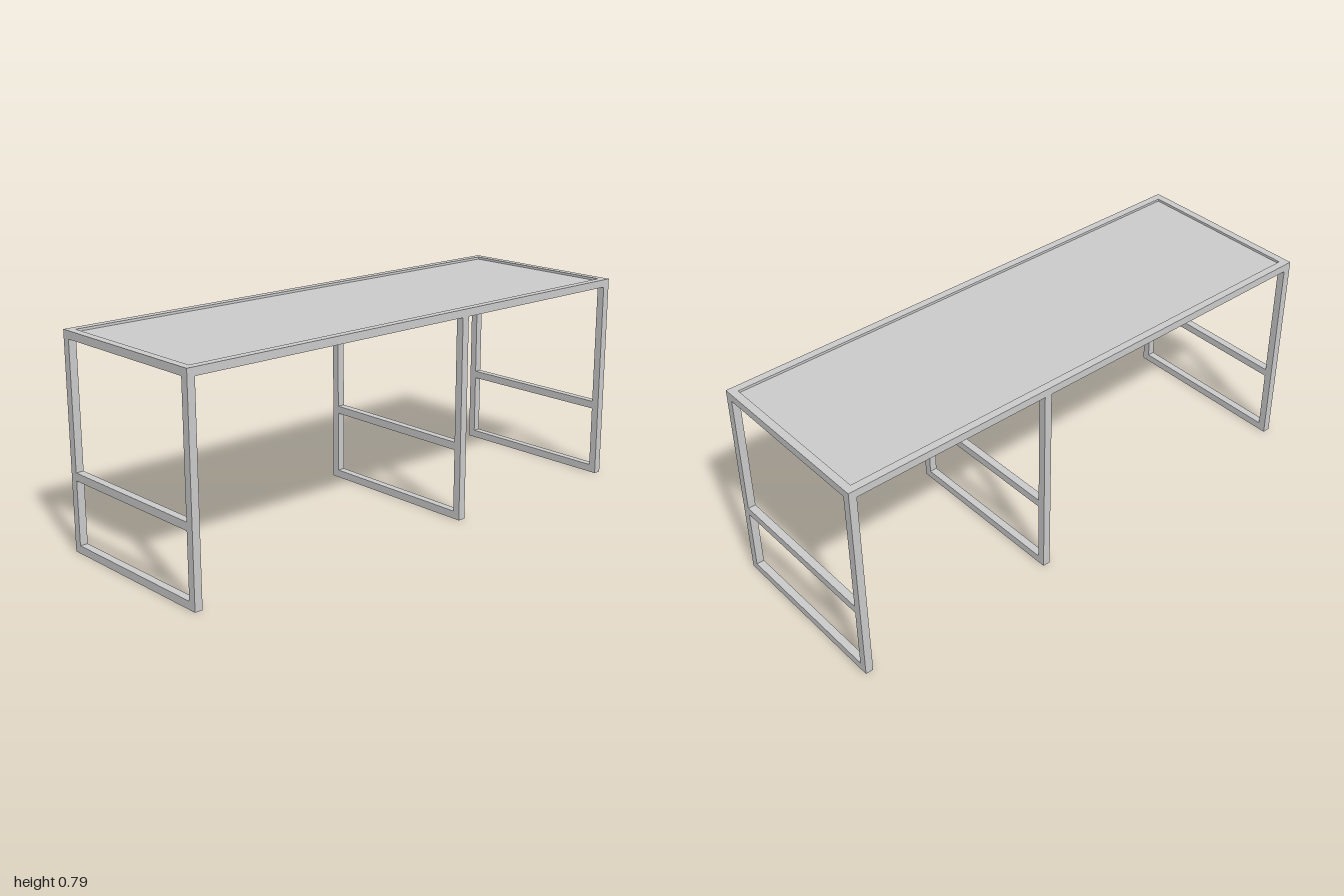
import * as THREE from 'three';

const W = 2, H = 0.785, D = 0.686, T = 0.029; // overall size and tube thickness

export function createModel() {
  const model = new THREE.Group();
  model.name = 'table';
  const material = new THREE.MeshStandardMaterial({ color: 0xcccccc });

  const bar = (parent, name, size, pos) => {
    const mesh = new THREE.Mesh(new THREE.BoxGeometry(...size), material);
    mesh.name = name;
    mesh.position.set(...pos);
    parent.add(mesh);
  };

  const zLeg = (D - T) / 2, xEnd = (W - T) / 2;
  const yTop = H - T / 2, innerDepth = D - 2 * T;

  // Three leg frames: two posts joined by a foot rail and a middle rail
  const frames = [['rightLegFrame', -xEnd], ['middleLegFrame', 0.2], ['leftLegFrame', xEnd]];
  for (const [name, x] of frames) {
    const frame = new THREE.Group();
    frame.name = name;
    frame.position.x = x;
    const postHeight = H - T;
    bar(frame, 'frontPost', [T, postHeight, T], [0, postHeight / 2, zLeg]);
    bar(frame, 'backPost', [T, postHeight, T], [0, postHeight / 2, -zLeg]);
    bar(frame, 'footRail', [T, T, innerDepth], [0, T / 2, 0]);
    bar(frame, 'middleRail', [T, T, innerDepth], [0, 0.278, 0]);
    model.add(frame);
  }

  // Rectangular top frame
  const topFrame = new THREE.Group();
  topFrame.name = 'topFrame';
  for (const s of [-1, 1]) {
    bar(topFrame, s > 0 ? 'frontRail' : 'backRail', [W, T, T], [0, yTop, s * zLeg]);
    bar(topFrame, s > 0 ? 'leftRail' : 'rightRail', [T, T, innerDepth], [s * xEnd, yTop, 0]);
  }
  model.add(topFrame);

  // Tabletop panel, sunk slightly inside the top frame
  bar(model, 'tabletop', [W - 2 * T, 0.012, innerDepth], [0, H - 0.015, 0]);

  return model;
}
